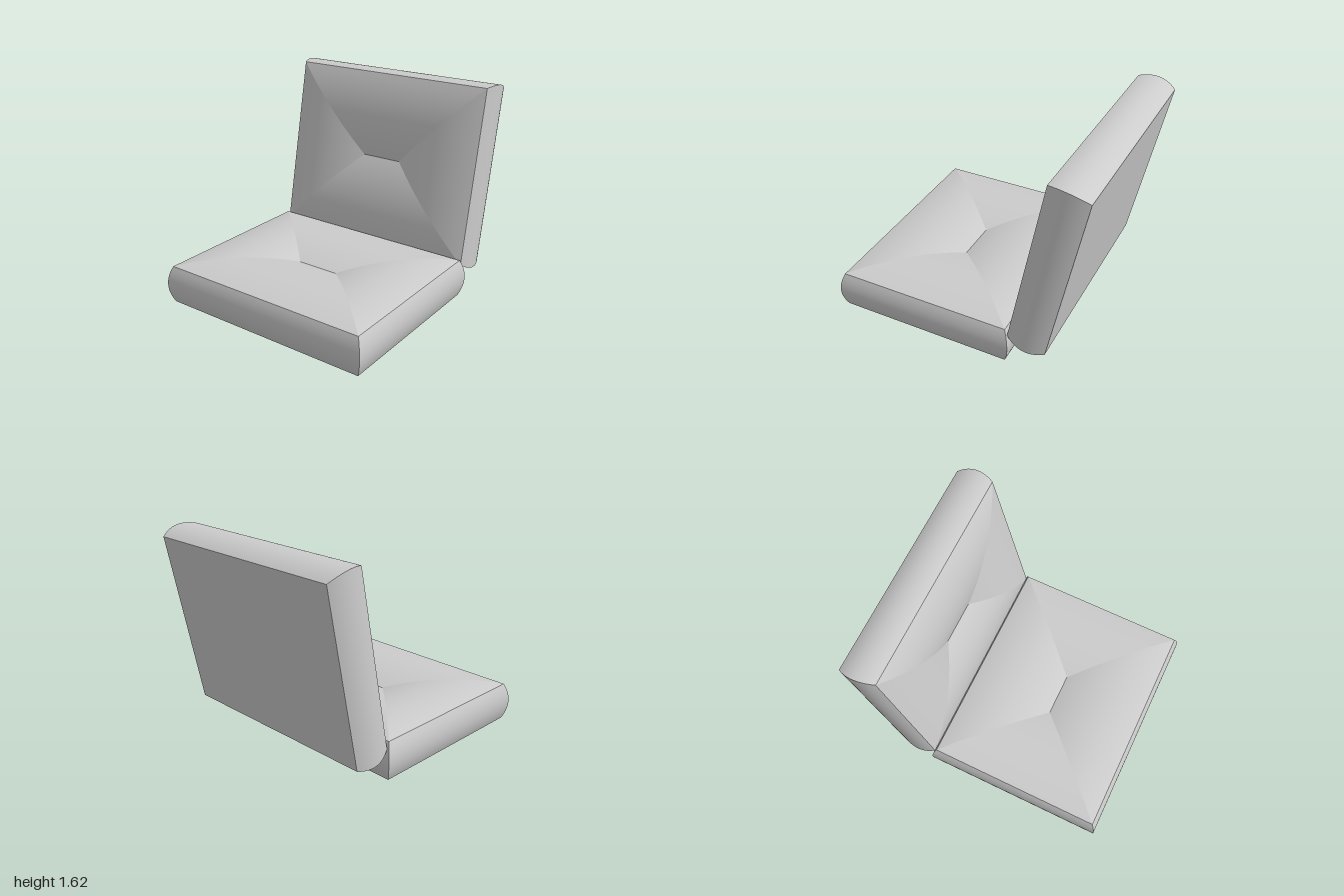
import * as THREE from 'three';

const HALF_X = 0.86, HALF_Z = 0.69, THICK = 0.3, BULGE = 0.035;
const CORNERS = [[-1, 1], [1, 1], [1, -1], [-1, -1]];

// Sample a curve f(t) = [inset, y] for t in 0..1
const sample = (n, f) => Array.from({ length: n + 1 }, (_, i) => f(i / n));

// Cushion made of rectangular rings; every face of the rectangle is its own
// smooth strip, so the mitred corners and the seams stay sharp.
function cushionGeometry() {
  const sections = [
    // flat base
    [[HALF_Z, 0], [0, 0]],
    // bulging sides
    sample(14, t => [-BULGE * (1 - (2 * t - 1) ** 2), THICK * t]),
    // padded face: rises from the seam, then dips to a short central crease
    sample(28, t => {
      const d = HALF_Z * t;
      return [d, THICK + 0.275 * d - 0.472 * d * d];
    }),
  ];
  const pos = [], index = [];
  for (const profile of sections) {
    for (let side = 0; side < 4; side++) {
      const start = pos.length / 3;
      profile.forEach(([inset, y], i) => {
        for (const [sx, sz] of [CORNERS[side], CORNERS[(side + 1) % 4]]) {
          pos.push(sx * (HALF_X - inset), y, sz * (HALF_Z - inset));
        }
        if (i === 0) return;
        const a = start + 2 * (i - 1);
        index.push(a, a + 1, a + 3, a, a + 3, a + 2);
      });
    }
  }
  const geo = new THREE.BufferGeometry();
  geo.setAttribute('position', new THREE.Float32BufferAttribute(pos, 3));
  geo.setIndex(index);
  geo.computeVertexNormals();
  return geo;
}

export function createModel() {
  const group = new THREE.Group();
  group.name = 'seatCushions';
  const geo = cushionGeometry();
  const material = new THREE.MeshStandardMaterial({ color: 0xcccccc });

  // Seat cushion lying flat
  const seat = new THREE.Mesh(geo, material);
  seat.name = 'seatCushion';
  seat.position.z = 0.272;
  group.add(seat);

  // The same cushion tipped up as a reclined backrest
  const back = new THREE.Mesh(geo, material);
  back.name = 'backCushion';
  back.rotation.x = THREE.MathUtils.degToRad(78.8);
  back.position.set(0, 0.87, -0.865);
  group.add(back);

  return group;
}
